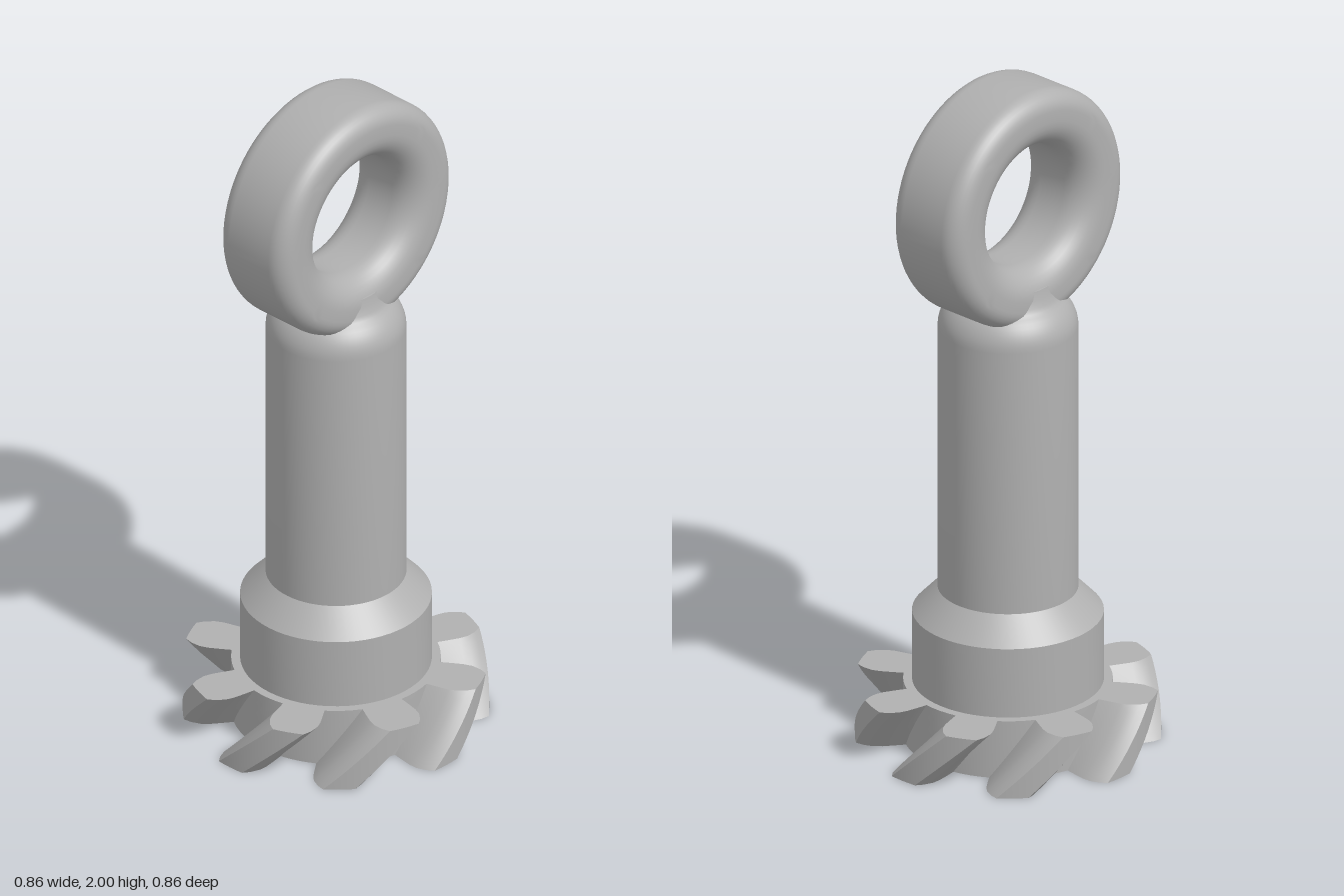
import * as THREE from 'three';
import { toCreasedNormals } from 'three/addons/utils/BufferGeometryUtils.js';

const TEETH = 8, GEAR_H = 0.175, TWIST = THREE.MathUtils.degToRad(25.5);
const BORE_TOP = 0.35, SLEEVE_R = 0.25;

const polar = (r, deg) => {
  const a = THREE.MathUtils.degToRad(deg);
  return new THREE.Vector2(r * Math.cos(a), r * Math.sin(a));
};

// points along an arc, centre (cx, cy), angles in degrees
function arc(cx, cy, r, from, to, n = 8) {
  return Array.from({ length: n + 1 }, (_, i) => {
    const p = polar(r, from + (to - from) * i / n);
    return new THREE.Vector2(cx + p.x, cy + p.y);
  });
}

// extrude an outline upwards from y = 0
function extrudeUp(shape, depth, steps) {
  const g = new THREE.ExtrudeGeometry(shape, { depth, steps, bevelEnabled: false, curveSegments: 48 });
  return g.rotateX(-Math.PI / 2);
}

// bulging teeth with narrow tips, joined by the root circle
function gearOutline() {
  const flank = [[0.293, 12], [0.325, 11.7], [0.36, 11.3], [0.385, 10.4], [0.41, 8.3], [0.428, 6]];
  const pts = [];
  for (let i = 0; i < TEETH; i++) {
    const c = i * 360 / TEETH;
    flank.forEach(([r, h]) => pts.push(polar(r, c - h)));
    [-3, 0, 3].forEach(d => pts.push(polar(0.428, c + d)));
    [...flank].reverse().forEach(([r, h]) => pts.push(polar(r, c + h)));
    [17, 22.5, 28].forEach(d => pts.push(polar(0.293, c + d)));
  }
  return new THREE.Shape(pts);
}

// round bore with square keys pointing inwards
function boreOutline() {
  const pts = [];
  for (let i = 0; i < TEETH; i++) {
    const c = i * 360 / TEETH;
    pts.push(polar(0.21, c - 9), polar(0.18, c - 9), polar(0.18, c), polar(0.18, c + 9));
    [9, 15, 22.5, 30].forEach(d => pts.push(polar(0.21, c + d)));
  }
  return new THREE.Path(pts);
}

export function createModel() {
  const model = new THREE.Group();
  model.name = 'eyeShaftWithPinion';
  const steel = new THREE.MeshStandardMaterial({ color: 0xb0b0b0 });
  steel.name = 'grey steel';

  const add = (name, geometry, crease = 0.5) => {
    const mesh = new THREE.Mesh(toCreasedNormals(geometry, crease), steel);
    mesh.name = name;
    model.add(mesh);
    return mesh;
  };

  // helical gear: the extruded outline turns as it rises
  const outline = gearOutline();
  outline.holes.push(new THREE.Path().absarc(0, 0, SLEEVE_R, 0, Math.PI * 2, true));
  const gear = extrudeUp(outline, GEAR_H, 10);
  const pos = gear.attributes.position;
  const v = new THREE.Vector3(), up = new THREE.Vector3(0, 1, 0);
  for (let i = 0; i < pos.count; i++) {
    v.fromBufferAttribute(pos, i);
    v.applyAxisAngle(up, TWIST * v.y / GEAR_H);
    pos.setXYZ(i, v.x, v.y, v.z);
  }
  add('helicalGear', gear);

  // splined bore inside the gear and collar, with its ceiling
  const sleeve = new THREE.Shape().absarc(0, 0, SLEEVE_R, 0, Math.PI * 2, false);
  sleeve.holes.push(boreOutline());
  add('splinedBore', extrudeUp(sleeve, BORE_TOP, 1));
  add('boreCeiling', new THREE.CircleGeometry(0.22, 48).rotateX(Math.PI / 2)).position.y = BORE_TOP;

  // collar with chamfer, shaft and rounded shoulder
  add('collarAndShaft', new THREE.LatheGeometry([
    new THREE.Vector2(0.268, GEAR_H - 0.005),
    new THREE.Vector2(0.268, 0.385),
    new THREE.Vector2(0.197, 0.46),
    new THREE.Vector2(0.197, 1.26),
    ...arc(0.087, 1.26, 0.11, 8, 56, 7),
    new THREE.Vector2(0.142, 1.364),
    new THREE.Vector2(0.135, 1.385),
    new THREE.Vector2(0.13, 1.41),
    new THREE.Vector2(0, 1.42),
  ], 64));

  // eye ring: rounded rectangular section turned about the z axis
  const inner = 0.18, outer = 0.352, half = 0.13, ri = 0.085, ro = 0.055;
  const section = [
    ...arc(outer - ro, -half + ro, ro, -90, 0),
    ...arc(outer - ro, half - ro, ro, 0, 90),
    ...arc(inner + ri, half - ri, ri, 90, 180),
    ...arc(inner + ri, -half + ri, ri, 180, 270),
  ];
  section.push(section[0].clone());
  add('eyeRing', new THREE.LatheGeometry(section, 80).rotateX(Math.PI / 2)).position.y = 1.648;

  return model;
}
